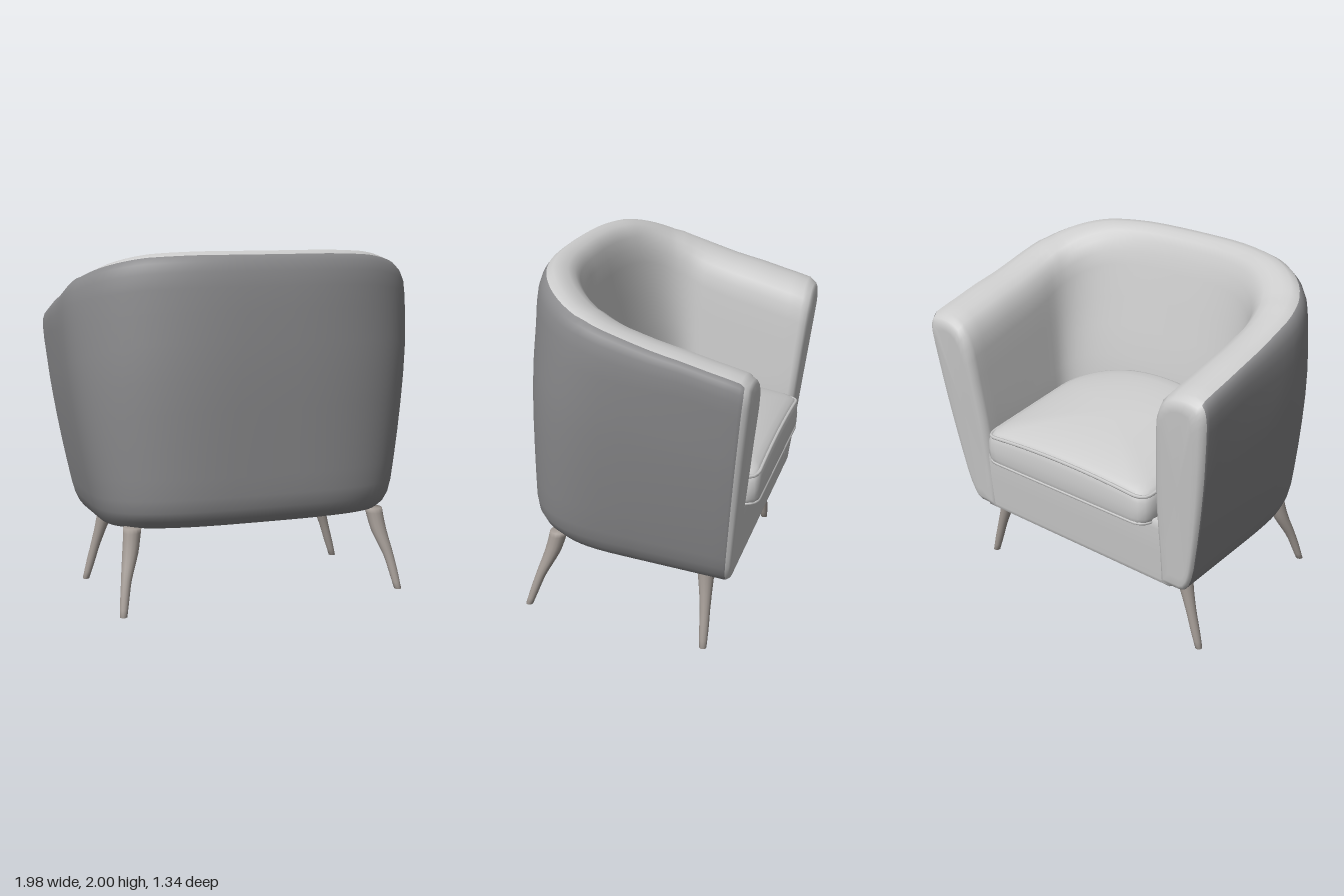
import * as THREE from 'three';

const lerp = THREE.MathUtils.lerp;
const ramp = (v, a, b) => THREE.MathUtils.clamp((v - a) / (b - a), 0, 1);
const fabric = new THREE.MeshStandardMaterial({ color: 0xcccccc });
const darkFabric = new THREE.MeshStandardMaterial({ color: 0x89898b });
const wood = new THREE.MeshStandardMaterial({ color: 0xa39b95 });

// Skin a list of closed rings (arrays of Vector3) and close both ends
function loft(rings) {
  const n = rings[0].length, pos = [], idx = [];
  rings.forEach(r => r.forEach(p => pos.push(p.x, p.y, p.z)));
  for (let i = 0; i < rings.length - 1; i++) {
    for (let j = 0; j < n; j++) {
      const a = i * n + j, b = i * n + (j + 1) % n;
      idx.push(a, b, a + n, b, b + n, a + n);
    }
  }
  [0, rings.length - 1].forEach((ri, end) => {
    const c = centroid(rings[ri]), ci = pos.length / 3;
    pos.push(c.x, c.y, c.z);
    for (let j = 0; j < n; j++) {
      const a = ri * n + j, b = ri * n + (j + 1) % n;
      end ? idx.push(a, b, ci) : idx.push(b, a, ci);
    }
  });
  // Turn the faces outward if the enclosed volume is negative
  const v = i => new THREE.Vector3().fromArray(pos, i * 3);
  let volume = 0;
  for (let i = 0; i < idx.length; i += 3) volume += v(idx[i]).dot(v(idx[i + 1]).cross(v(idx[i + 2])));
  if (volume < 0) idx.reverse();
  const g = new THREE.BufferGeometry();
  g.setAttribute('position', new THREE.Float32BufferAttribute(pos, 3));
  g.setIndex(idx);
  g.computeVertexNormals();
  return g;
}

function centroid(ring) {
  const c = new THREE.Vector3();
  ring.forEach(p => c.add(p));
  return c.divideScalar(ring.length);
}

function part(name, geometry, material = fabric) {
  const m = new THREE.Mesh(geometry, material);
  m.name = name;
  return m;
}

// Plan curve: straight arm (t 0..1) and then a rounded quarter of the back (t 1..2)
function plan(t, halfWidth, depth, frontZ, power) {
  if (t <= 1) return [halfWidth, lerp(frontZ, 0, t)];
  const a = (t - 1) * Math.PI / 2;
  return [halfWidth * Math.max(0, Math.cos(a)) ** (2 / power), depth * Math.sin(a) ** (2 / power)];
}

const frontZ = y => -0.555 - 0.115 * ramp(y, 0.45, 1.55);
const bottomY = z => 0.475 + 0.11 * z;

// Outside flares upward and is squarer in plan near the bottom
function outer(t, y) {
  const w = 0.857 + 0.135 * (1 - Math.max(0, 1.6 - y) ** 1.5);
  const power = lerp(3.4, 2.5, ramp(y, 0.6, 1.7));
  return plan(t, w, 0.672 - 0.05 * ramp(y, 1.3, 2) ** 1.5, frontZ(y), power);
}
function inner(t, y) {
  return plan(t, lerp(0.63, 0.69, ramp(y, 0.95, 1.7)), lerp(0.245, 0.41, ramp(y, 1.12, 1.9)), frontZ(y), 2.5);
}

// Height of the crest, falling from the back to the arms
const crest = new THREE.SplineCurve([[-0.7, 1.6], [-0.6, 1.625], [-0.2, 1.735], [0, 1.795], [0.2, 1.87],
  [0.35, 1.935], [0.45, 1.98], [0.54, 2]].map(p => new THREE.Vector2(...p)));
const crestTable = crest.getPoints(80);
const crestY = z => (crestTable.find(p => p.x >= z) ?? crestTable[80]).y;

// One wall section: [blend from outside to inside, height from the bottom or the crest]
const lower = [[1, 0], [0.6, 0], [0.32, 0], [0.18, 0.012], [0.075, 0.05], [0.02, 0.1], [0, 0.17]];
const upper = [[0, -0.3], [0.003, -0.18], [0.03, -0.1], [0.09, -0.05], [0.18, -0.018], [0.32, 0], [0.48, -0.002],
  [0.65, -0.012], [0.8, -0.035], [0.91, -0.075], [0.98, -0.14], [1, -0.22]];
const outsideColumns = 16, endRings = 3;

function wallSection(t) {
  const at = (s, y) => {
    const o = outer(t, y), i = inner(t, y);
    return new THREE.Vector3(lerp(o[0], i[0], s), y, lerp(o[1], i[1], s));
  };
  const top = crestY(at(0.35, 1.8).z);
  // The outer edge of the crest is tighter along the arms
  const soft = lerp(0.6, 1, ramp(t, 0.5, 1.5));
  const ring = lower.map(([s, h]) => at(s, bottomY(at(s, 0.5).z) + h));
  for (let k = 1; k < 6; k++) ring.push(at(0, lerp(0.65, top - 0.3, k / 6)));
  upper.forEach(([s, h]) => ring.push(at(s < 0.3 ? s * soft : s, top + (s < 0.3 ? h * soft : h))));
  for (let k = 1; k < 7; k++) ring.push(at(1, lerp(top - 0.22, 0.5, k / 7)));
  return ring;
}

// Arms and back in one sweep with soft arm fronts, split into outside and lining
function wallGeometries() {
  const half = [];
  const end = wallSection(0), mid = centroid(end);
  [[0.6, 0], [0.81, 0.004], [0.92, 0.016], [0.98, 0.035]].forEach(([k, dz]) => {
    half.push(end.map(p => new THREE.Vector3(
      lerp(mid.x, p.x, k), lerp(mid.y, p.y, 1 - (1 - k) * 0.35),
      frontZ(p.y) + dz)));
  });
  for (let i = 0; i <= 8; i++) half.push(wallSection(0.08 + 0.92 * i / 8));
  for (let i = 1; i <= 20; i++) half.push(wallSection(1 + i / 20));
  const mirrored = half.slice(0, -1).reverse().map(r => r.map(p => new THREE.Vector3(-p.x, p.y, p.z)));
  const rings = [...half, ...mirrored], n = end.length;
  const whole = loft(rings), all = Array.from(whole.index.array);
  const isOutside = i => i % n <= outsideColumns && i >= endRings * n && i < (rings.length - endRings) * n;
  return [true, false].map(outside => {
    const g = whole.clone();
    g.setIndex(all.filter((_, i) => {
      const f = i - i % 3;
      return [0, 1, 2].every(c => isOutside(all[f + c])) === outside;
    }));
    return g;
  });
}

// Plan outline of seat parts: rounded back, square front with soft corners
function seatOutline(halfWidth, depth, front, corner) {
  const s = new THREE.Shape();
  s.moveTo(-halfWidth + corner, front);
  s.lineTo(halfWidth - corner, front);
  s.quadraticCurveTo(halfWidth, front, halfWidth, front + corner);
  s.lineTo(halfWidth, 0);
  s.bezierCurveTo(halfWidth, depth * 0.7, halfWidth * 0.6, depth, 0, depth);
  s.bezierCurveTo(-halfWidth * 0.6, depth, -halfWidth, depth * 0.7, -halfWidth, 0);
  s.lineTo(-halfWidth, front + corner);
  s.quadraticCurveTo(-halfWidth, front, -halfWidth + corner, front);
  return s.getSpacedPoints(96).slice(0, -1);
}

// Scaled copy of an outline at one height, adjusted by a shift rule
const level = (outline, k, y, shift) => outline.map(p =>
  shift(new THREE.Vector3(p.x * k, y, -0.2 + (p.y + 0.2) * k)));

// The base leans forward and follows the sloping underside
function slopeBase(p) {
  if (p.z < -0.3) p.z -= 0.11 * (p.y - 0.45);
  p.y += 0.11 * p.z * ramp(p.y, 0.8, 0.5);
  return p;
}

// The cushion top rises toward the back and sinks toward the arms
function crownCushion(p) {
  const back = ramp(p.z, -0.6, 0.25), middle = 1 - (p.x / 0.6) ** 2;
  p.y += (0.13 * back + (0.03 + 0.05 * back) * middle - 0.015) * ramp(p.y, 0.82, 0.96);
  return p;
}

// Splayed leg: horizontal rings along a bent centre line
function legGeometry(points, radii) {
  const curve = new THREE.CatmullRomCurve3(points.map(p => new THREE.Vector3(...p)));
  const rings = [];
  for (let i = 0; i <= 14; i++) {
    const t = i / 14, c = curve.getPoint(t), f = t * (radii.length - 1);
    const k = Math.min(Math.floor(f), radii.length - 2);
    const r = lerp(radii[k], radii[k + 1], f - k);
    rings.push(Array.from({ length: 14 }, (_, j) => {
      const a = j / 14 * Math.PI * 2;
      return new THREE.Vector3(c.x + r * Math.cos(a), c.y, c.z + r * Math.sin(a));
    }));
  }
  return loft(rings);
}

export function createModel() {
  const chair = new THREE.Group();
  chair.name = 'armchair';
  const [outside, lining] = wallGeometries();
  chair.add(part('outerShell', outside, darkFabric), part('armsAndBackLining', lining));

  // Seat base with a sloping underside and front rail
  const baseOutline = seatOutline(0.72, 0.5, -0.535, 0.02);
  chair.add(part('seatBase', loft([[0.5, 0.472], [0.97, 0.472], [0.995, 0.478], [1, 0.5], [1, 0.65], [1, 0.77], [0.97, 0.81]]
    .map(([k, y]) => level(baseOutline, k, y, slopeBase)))));

  // Crowned loose cushion
  const outline = seatOutline(0.607, 0.3, -0.643, 0.09);
  chair.add(part('seatCushion', loft(
    [[0.5, 0.765], [0.94, 0.768], [0.975, 0.782], [0.995, 0.82], [1, 0.87], [0.995, 0.925], [0.975, 0.96],
      [0.94, 0.98], [0.87, 0.995], [0.75, 1.008], [0.6, 1.018], [0.45, 1.024], [0.3, 1.028], [0.15, 1.03],
      [0.04, 1.031]].map(([k, y]) => level(outline, k, y, crownCushion)))));

  // Piping around the upper and lower cushion edges
  [['lowerPiping', 0.79], ['upperPiping', 0.96]].forEach(([name, y]) => {
    const path = new THREE.CatmullRomCurve3(level(outline, 0.975, y, crownCushion), true);
    chair.add(part(name, new THREE.TubeGeometry(path, 140, 0.01, 6, true)));
  });

  // Four splayed legs
  [1, -1].forEach(s => {
    const side = s > 0 ? 'Left' : 'Right';
    chair.add(part('openSideLeg' + side, legGeometry(
      [[0.67 * s, 0.47, -0.385], [0.69 * s, 0.38, -0.39], [0.745 * s, 0.2, -0.4], [0.803 * s, 0, -0.405]],
      [0.05, 0.049, 0.044, 0.035, 0.028, 0.026, 0.02]), wood));
    chair.add(part('backLeg' + side, legGeometry(
      [[0.7 * s, 0.54, 0.445], [0.72 * s, 0.42, 0.48], [0.76 * s, 0.27, 0.545], [0.79 * s, 0.1, 0.605]],
      [0.05, 0.047, 0.045, 0.037, 0.028, 0.025, 0.02]), wood));
  });
  return chair;
}
